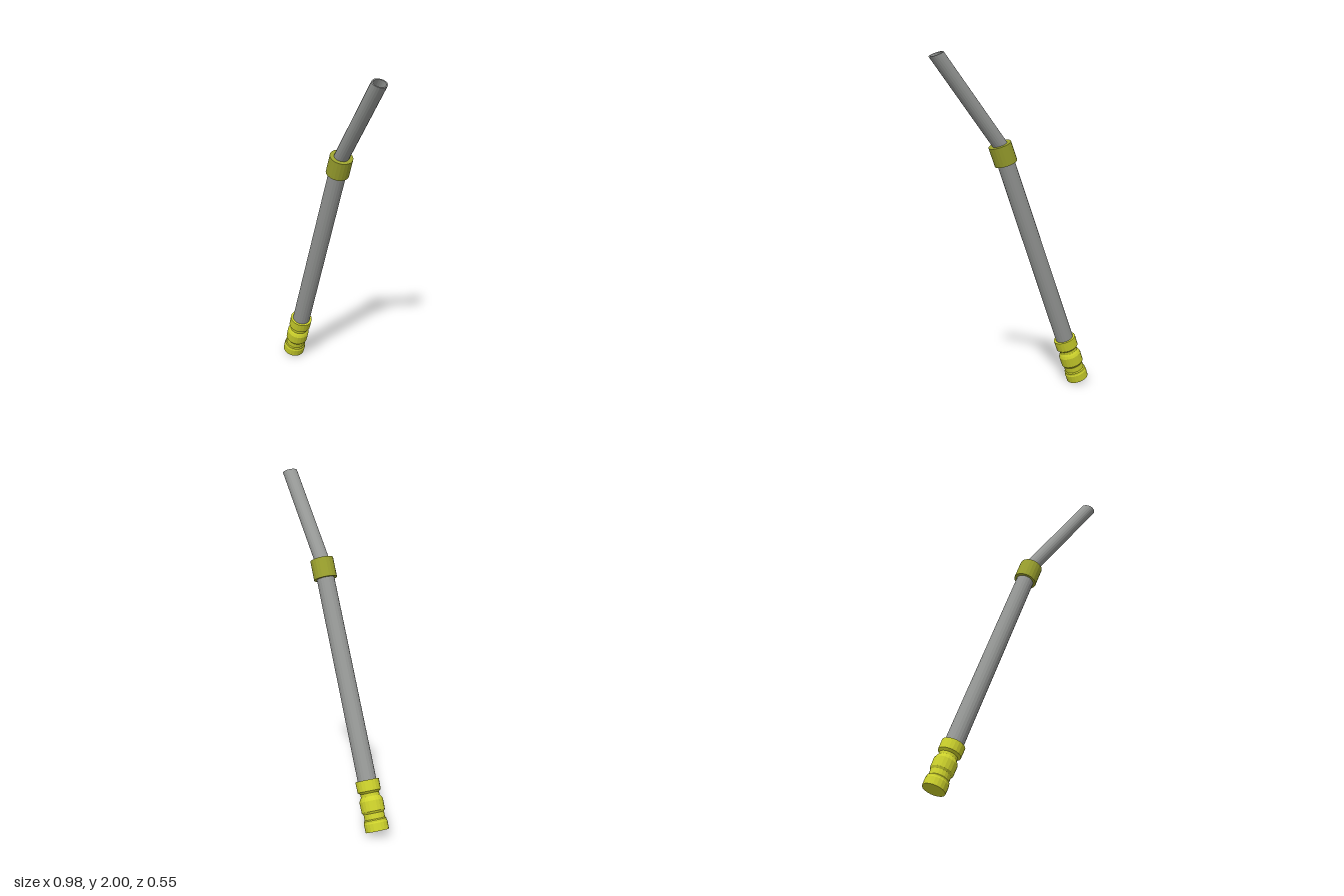
import * as THREE from 'three';

export function createModel() {
  const root = new THREE.Group();
  root.name = 'bentTube';

  const mat = (name, color, side = THREE.FrontSide) => {
    const m = new THREE.MeshStandardMaterial({ color, side, flatShading: true });
    m.name = name;
    return m;
  };
  const grey = mat('tubeGrey', 0x979997, THREE.DoubleSide);
  const yellow = mat('brightYellow', 0xcdd22c);
  const olive = mat('collarOlive', 0x9ca22e);

  // Leaning frame: local y runs up the lower tube
  const foot = new THREE.Vector3(-0.43, 0.022, -0.205);
  const joint = new THREE.Vector3(0.095, 1.485, 0.043);
  const end = new THREE.Vector3(0.445, 1.985, 0.234);
  const axis = joint.clone().sub(foot);
  const length = axis.length();
  const lean = new THREE.Quaternion().setFromUnitVectors(new THREE.Vector3(0, 1, 0), axis.normalize());
  const body = new THREE.Group();
  body.name = 'leaningBody';
  body.position.copy(foot);
  body.quaternion.copy(lean);
  root.add(body);

  const SIDES = 20;
  const turned = (name, profile, material) => {
    const pts = profile.map(([r, y]) => new THREE.Vector2(r, y));
    const mesh = new THREE.Mesh(new THREE.LatheGeometry(pts, SIDES), material);
    mesh.name = name;
    body.add(mesh);
    return mesh;
  };

  // Ribbed end fitting
  turned('ribbedFitting', [
    [0, 0], [0.066, 0], [0.067, 0.045], [0.064, 0.052], [0.064, 0.062], [0.058, 0.068],
    [0.058, 0.1], [0.066, 0.112], [0.067, 0.17], [0.06, 0.185], [0.053, 0.195],
    [0.053, 0.212], [0.066, 0.224], [0.067, 0.285], [0, 0.285],
  ], yellow);

  // Long lower tube
  turned('lowerTube', [[0.053, 0.28], [0.051, length - 0.1]], grey);

  // Joint collar
  turned('jointCollar', [[0, length - 0.116], [0.067, length - 0.116], [0.067, length], [0, length]], olive);

  // Hollow upper tube, sheared so its rim stays parallel to the collar
  const tip = end.clone().sub(foot).applyQuaternion(lean.clone().invert());
  const rise = tip.y - length;
  const upper = turned('upperTube', [
    [0.043, -0.01], [0.043, rise], [0.035, rise], [0.035, -0.01],
  ], grey);
  upper.position.y = length;
  const pos = upper.geometry.attributes.position;
  for (let i = 0; i < pos.count; i++) {
    const t = pos.getY(i) / rise;
    pos.setX(i, pos.getX(i) + tip.x * t);
    pos.setZ(i, pos.getZ(i) + tip.z * t);
  }
  upper.geometry.computeVertexNormals();

  return root;
}
